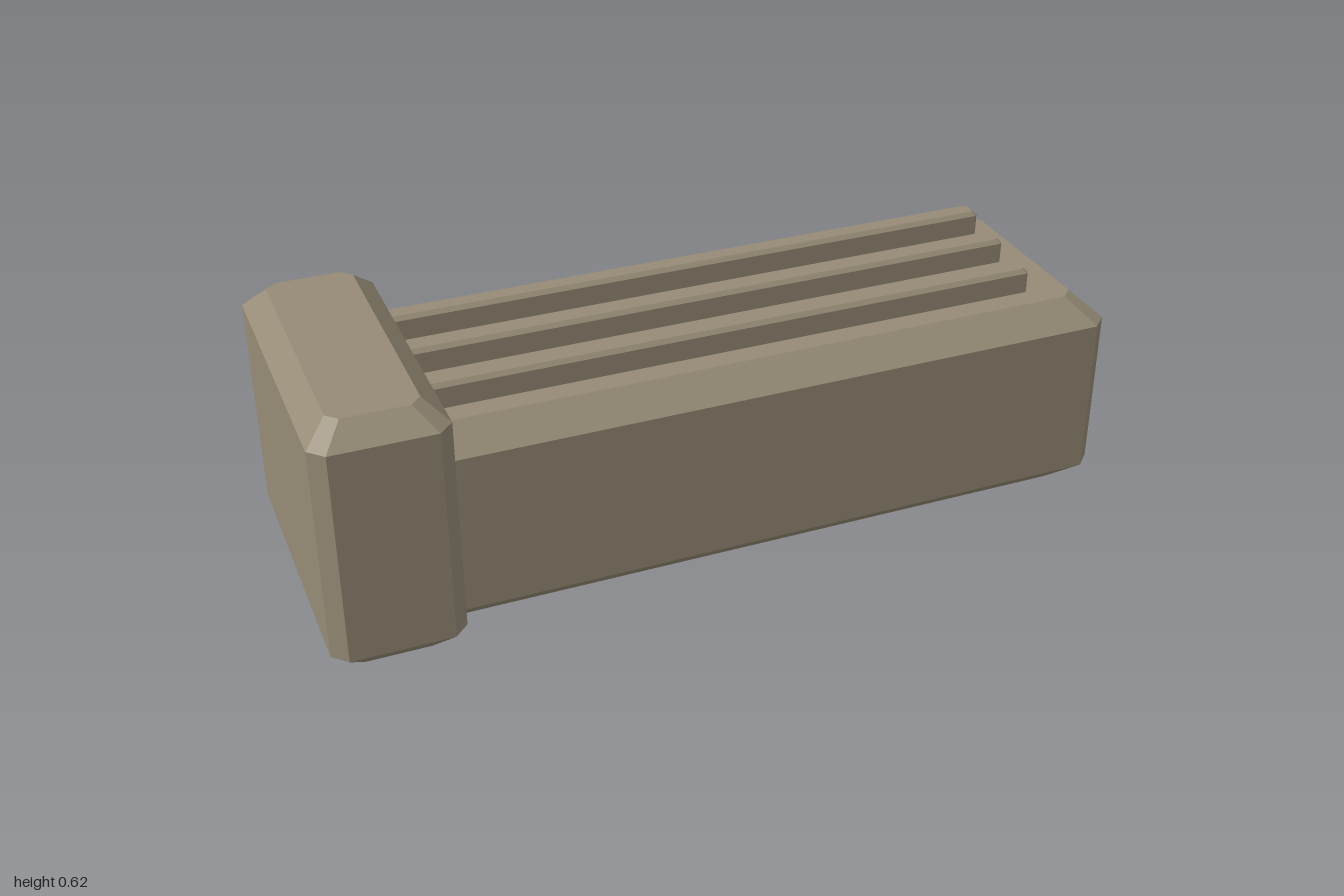
import * as THREE from 'three';

const stone = new THREE.MeshStandardMaterial({ color: 0x968b76, flatShading: true });
stone.name = 'warm grey stone';

// Rectangle outline with cut corners, counter-clockwise seen from above
function outline(x0, x1, z0, z1, inset, cut) {
  const a = x0 + inset, b = x1 - inset, c = z0 + inset, d = z1 - inset;
  return [
    [b, d - cut], [b, c + cut], [b - cut, c], [a + cut, c],
    [a, c + cut], [a, d - cut], [a + cut, d], [b - cut, d],
  ];
}

// Block with every edge chamfered, built by stacking four outlines
function chamferBlock(name, [x0, x1], [y0, y1], [z0, z1], inset, rise, cut) {
  const levels = [[y0, inset, cut * 0.75], [y0 + rise, 0, cut], [y1 - rise, 0, cut], [y1, inset, cut * 0.75]];
  const rings = levels.map(([y, i, c]) => outline(x0, x1, z0, z1, i, c).map(([x, z]) => [x, y, z]));
  const pos = [];
  const tri = (a, b, c) => pos.push(...a, ...b, ...c);
  for (let r = 0; r < 3; r++) {
    for (let i = 0; i < 8; i++) {
      const j = (i + 1) % 8, lo = rings[r], hi = rings[r + 1];
      tri(lo[i], lo[j], hi[j]);
      tri(lo[i], hi[j], hi[i]);
    }
  }
  for (let i = 1; i < 7; i++) {
    tri(rings[3][0], rings[3][i], rings[3][i + 1]);
    tri(rings[0][0], rings[0][i + 1], rings[0][i]);
  }
  const geometry = new THREE.BufferGeometry();
  geometry.setAttribute('position', new THREE.Float32BufferAttribute(pos, 3));
  geometry.computeVertexNormals();
  const mesh = new THREE.Mesh(geometry, stone);
  mesh.name = name;
  return mesh;
}

export function createModel() {
  const model = new THREE.Group();
  model.name = 'ribbedBlock';

  // Everything sits slightly turned about the vertical axis
  const turned = new THREE.Group();
  turned.name = 'turnedBlock';
  turned.rotation.y = 0.14;
  model.add(turned);

  // Long body and the taller end cap
  turned.add(chamferBlock('body', [-0.8, 0.976], [0, 0.51], [-0.342, 0.265], 0.066, 0.06, 0.037));
  turned.add(chamferBlock('endCap', [-0.956, -0.651], [0, 0.62], [-0.41, 0.338], 0.052, 0.05, 0.034));

  // Three staggered ribs along the top
  [[-0.21, 0.858], [-0.047, 0.835], [0.117, 0.812]].forEach(([z, end], i) => {
    turned.add(chamferBlock(`rib${i + 1}`, [-0.75, end], [0.47, 0.57], [z - 0.028, z + 0.028], 0.009, 0.01, 0.006));
  });

  return model;
}
